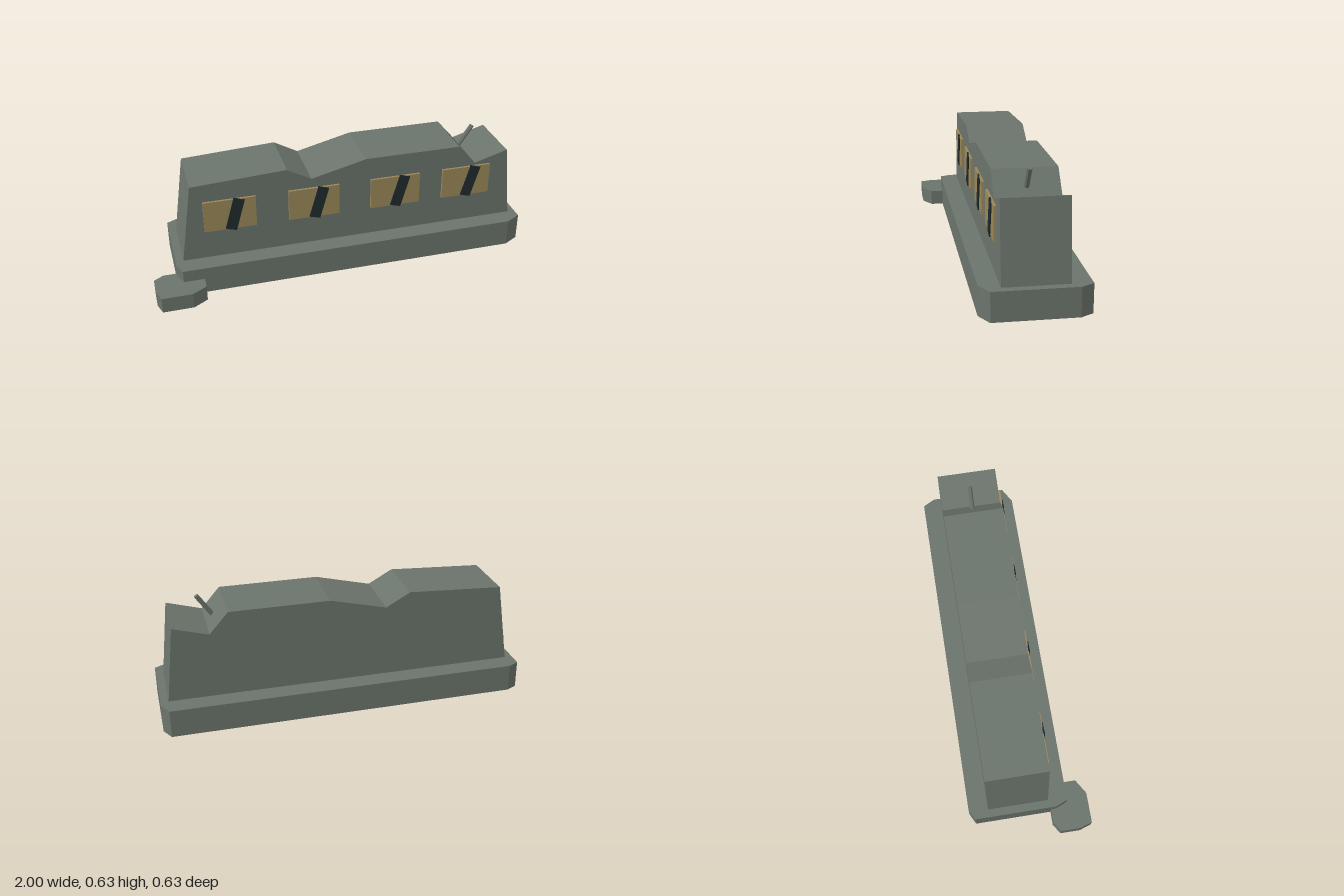
import * as THREE from 'three';

const mat = (name, color) => {
  const m = new THREE.MeshStandardMaterial({ color });
  m.name = name;
  return m;
};

export function createModel() {
  const group = new THREE.Group();
  const stone = mat('grey stone', 0x6b746c);
  const tan = mat('tan panel', 0x9b885a);
  const dark = mat('dark slash', 0x1f2a2d);

  const add = (name, geometry, material, x = 0, y = 0, z = 0) => {
    const mesh = new THREE.Mesh(geometry, material);
    mesh.name = name;
    mesh.position.set(x, y, z);
    group.add(mesh);
    return mesh;
  };
  const extrude = (points, depth) => new THREE.ExtrudeGeometry(
    new THREE.Shape(points.map(([x, y]) => new THREE.Vector2(x, y))),
    { depth, bevelEnabled: false });
  // Flat slab from an (x, z) outline, standing on the ground
  const slab = (outline, height) =>
    extrude(outline.map(([x, z]) => [x, -z]), height).rotateX(-Math.PI / 2);

  // Plinth with chipped corners
  add('plinth', slab([
    [-0.855, 0.2], [0.92, 0.2], [1, 0.155], [1, -0.25],
    [0.965, -0.313], [-0.825, -0.313], [-0.88, -0.285], [-0.88, 0.14],
  ], 0.145), stone);

  // Loose fragment at the front right corner
  add('fragment', slab([
    [-0.98, 0.313], [-0.825, 0.313], [-0.75, 0.267], [-0.75, 0.19],
    [-0.8, 0.115], [-0.95, 0.115], [-1, 0.147], [-1, 0.25],
  ], 0.082), stone);

  // Broken wall with a jagged top
  add('wall', extrude([
    [-0.84, 0.145], [0.96, 0.145], [0.915, 0.538], [0.735, 0.485], [0.64, 0.594],
    [0.13, 0.594], [-0.16, 0.522], [-0.285, 0.592], [-0.777, 0.565],
  ], 0.315), stone, 0, 0, -0.213);

  // Panels, each crossed by a slanted slash
  for (const x of [-0.586, -0.149, 0.289, 0.685]) {
    add('panel', new THREE.BoxGeometry(0.268, 0.169, 0.013), tan, x, 0.388, 0.1075);
    const slash = add('slash', new THREE.BoxGeometry(0.058, 0.178, 0.008), dark, x + 0.025, 0.387, 0.115);
    slash.rotation.z = -0.28;
  }

  // Bent rod sticking out of the notch
  const rodGeometry = new THREE.CylinderGeometry(0.0125, 0.0125, 0.14, 6).toNonIndexed();
  rodGeometry.computeVertexNormals();
  const rod = add('rod', rodGeometry, stone, 0.733, 0.57, -0.055);
  rod.rotation.z = -0.6;

  return group;
}
